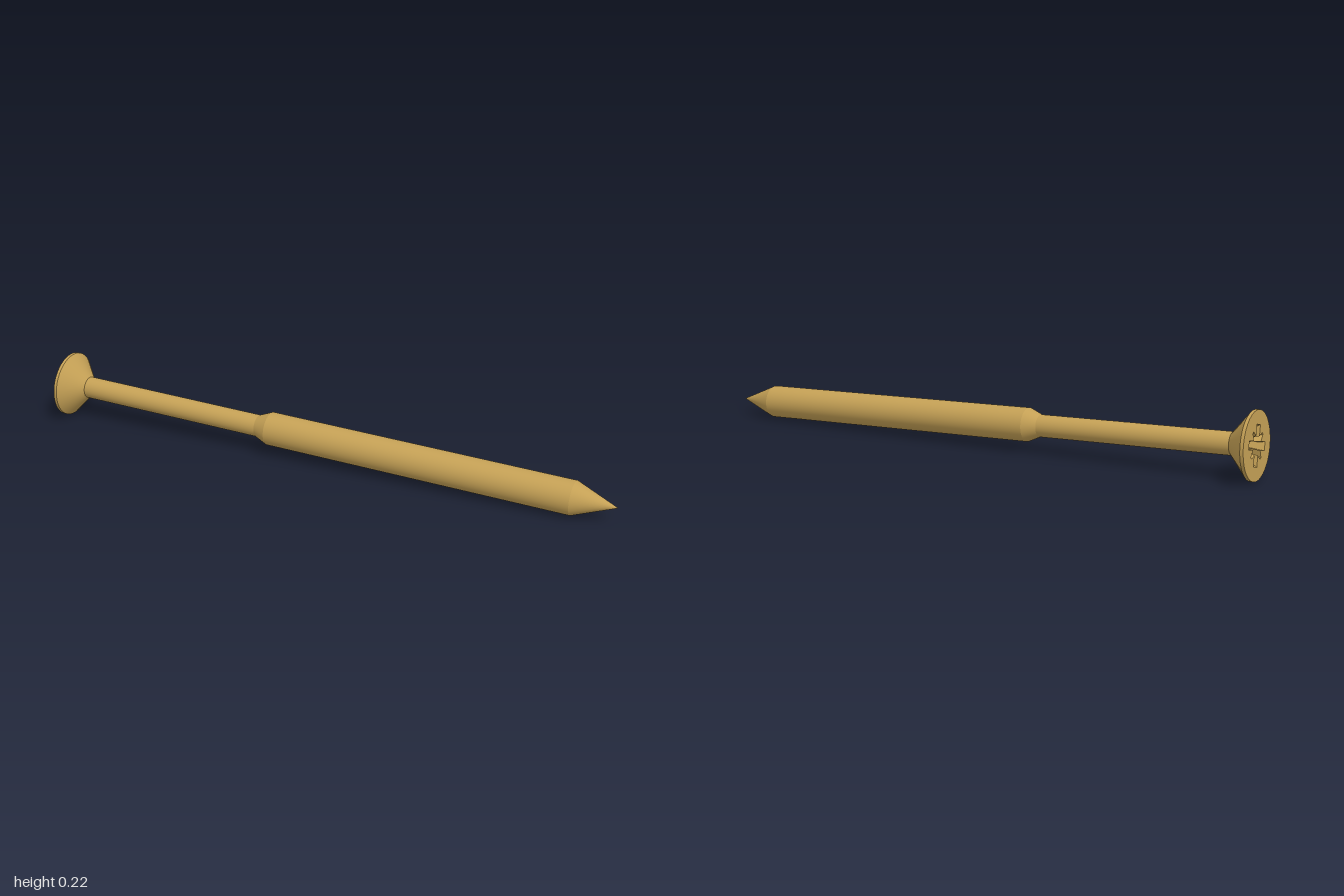
import * as THREE from 'three';

const brass = new THREE.MeshStandardMaterial({ color: 0xc4a055 });
brass.name = 'brass';

// One quarter of the cross recess outline: an arm and a diagonal notch
const QUARTER = [[0.066, -0.014], [0.066, 0.014], [0.03, 0.014], [0.042, 0.036], [0.036, 0.042], [0.014, 0.03]];

function recessOutline() {
  const points = [];
  for (let q = 0; q < 4; q++) {
    for (const [x, y] of QUARTER) {
      points.push(new THREE.Vector2(x, y).rotateAround(new THREE.Vector2(), q * Math.PI / 2));
    }
  }
  return points;
}

// Tapered walls and floor of the recess, sunk along -z
function recessGeometry(outline, depth, taper) {
  const v = [];
  outline.forEach((p, i) => {
    const n = outline[(i + 1) % outline.length];
    const a = [p.x, p.y, 0], b = [n.x, n.y, 0];
    const c = [p.x * taper, p.y * taper, -depth], d = [n.x * taper, n.y * taper, -depth];
    v.push(...a, ...b, ...c, ...b, ...d, ...c, ...c, ...d, 0, 0, -depth);
  });
  const g = new THREE.BufferGeometry();
  g.setAttribute('position', new THREE.Float32BufferAttribute(v, 3));
  g.computeVertexNormals();
  return g;
}

export function createModel() {
  const model = new THREE.Group();
  model.name = 'screw';
  const add = (name, geometry) => {
    const mesh = new THREE.Mesh(geometry, brass);
    mesh.name = name;
    model.add(mesh);
  };

  // Turned sections along the axis: name, start, end, start radius, end radius
  const sections = [
    ['headRim', 0, 0.011, 0.112, 0.112],
    ['headCone', 0.011, 0.078, 0.112, 0.0375],
    ['shank', 0.078, 0.757, 0.0375, 0.0375],
    ['shoulder', 0.757, 0.803, 0.0375, 0.057],
    ['body', 0.803, 1.873, 0.057, 0.057],
    ['tip', 1.873, 2.016, 0.057, 0.0005],
  ];
  for (const [name, y0, y1, r0, r1] of sections) {
    add(name, new THREE.LatheGeometry([new THREE.Vector2(r0, y0), new THREE.Vector2(r1, y1)], 64));
  }

  // Flat head face with the cross recess cut into it
  const outline = recessOutline();
  const face = new THREE.Shape().absarc(0, 0, 0.112, 0, Math.PI * 2);
  face.holes.push(new THREE.Path(outline));
  add('headFace', new THREE.ShapeGeometry(face, 32).rotateX(Math.PI / 2));
  add('crossRecess', recessGeometry(outline, 0.05, 0.5).rotateX(Math.PI / 2));

  // Lay the screw along its resting direction
  const head = new THREE.Vector3(-0.975, 0.113, -0.168);
  const tip = new THREE.Vector3(0.995, 0.056, 0.25);
  model.position.copy(head);
  model.quaternion.setFromUnitVectors(new THREE.Vector3(0, 1, 0), tip.sub(head).normalize());

  const root = new THREE.Group();
  root.add(model);
  return root;
}
